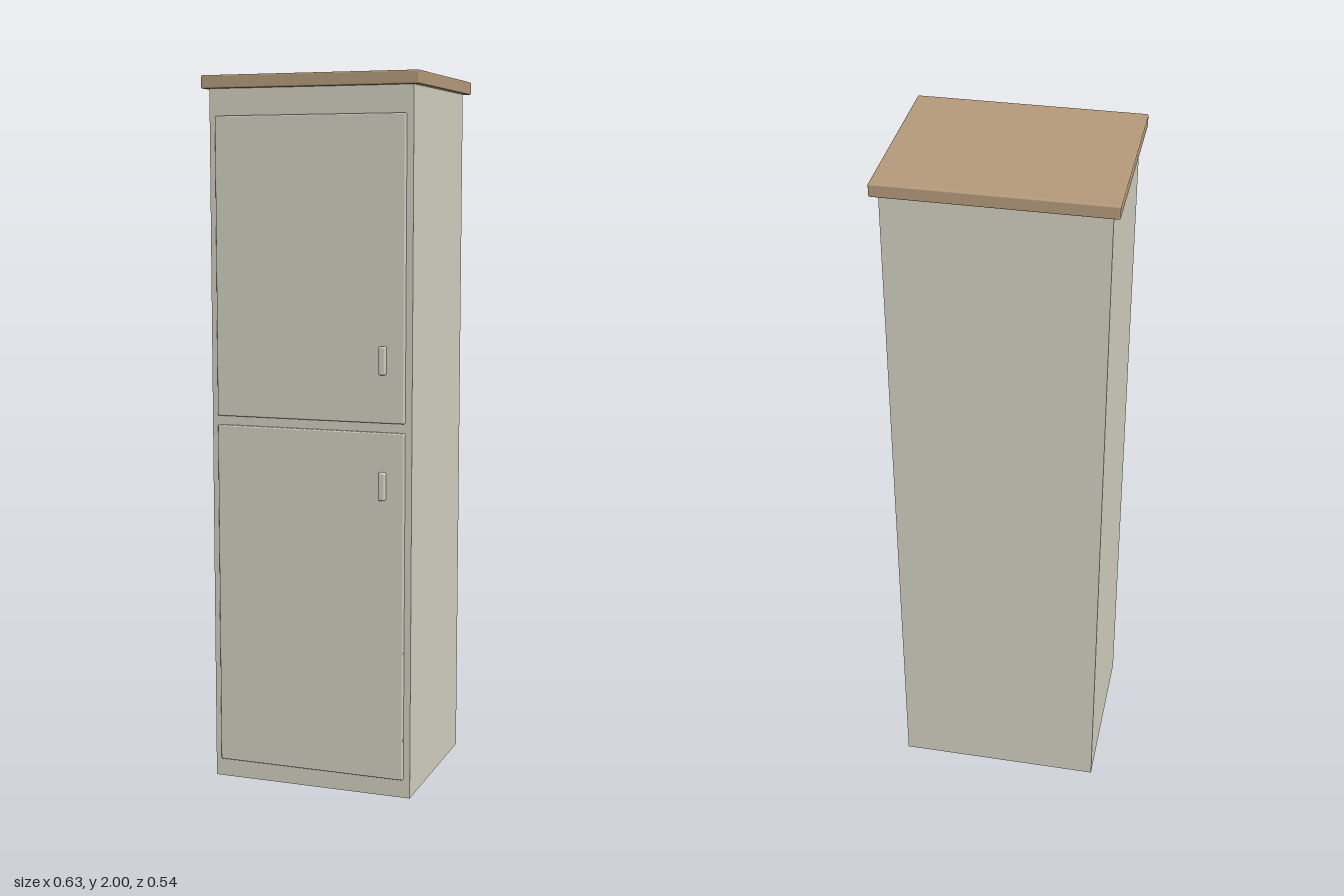
import * as THREE from 'three';
import { RoundedBoxGeometry } from 'three/addons/geometries/RoundedBoxGeometry.js';

const paint = new THREE.MeshStandardMaterial({ color: 0xd0ccbe });
paint.name = 'warm grey paint';
const wood = new THREE.MeshStandardMaterial({ color: 0xb3997a });
wood.name = 'light wood';

// Box between two corners, with softly rounded edges when radius > 0
function block(name, min, max, material, radius = 0) {
  const size = max.map((v, i) => v - min[i]);
  const geometry = radius > 0
    ? new RoundedBoxGeometry(...size, 3, radius)
    : new THREE.BoxGeometry(...size);
  const mesh = new THREE.Mesh(geometry, material);
  mesh.name = name;
  mesh.position.set(...max.map((v, i) => (v + min[i]) / 2));
  return mesh;
}

export function createModel() {
  const cabinet = new THREE.Group();
  cabinet.name = 'tallCabinet';

  // Carcass and overhanging worktop
  cabinet.add(
    block('carcass', [-0.294, 0, -0.246], [0.294, 1.965, 0.242], paint),
    block('woodenTop', [-0.313, 1.964, -0.27], [0.313, 2, 0.258], wood, 0.004),
  );

  // Two doors, each with a small upright handle on the same side
  const doors = [
    { name: 'upper', bottom: 1.059, top: 1.89, handle: 1.231 },
    { name: 'lower', bottom: 0.053, top: 1.033, handle: 0.886 },
  ];
  for (const { name, bottom, top, handle } of doors) {
    cabinet.add(
      block(`${name}Door`, [-0.275, bottom, 0.236], [0.275, top, 0.253], paint, 0.004),
      block(`${name}Handle`, [0.205, handle - 0.039, 0.25], [0.225, handle + 0.039, 0.269], paint, 0.005),
    );
  }
  return cabinet;
}
